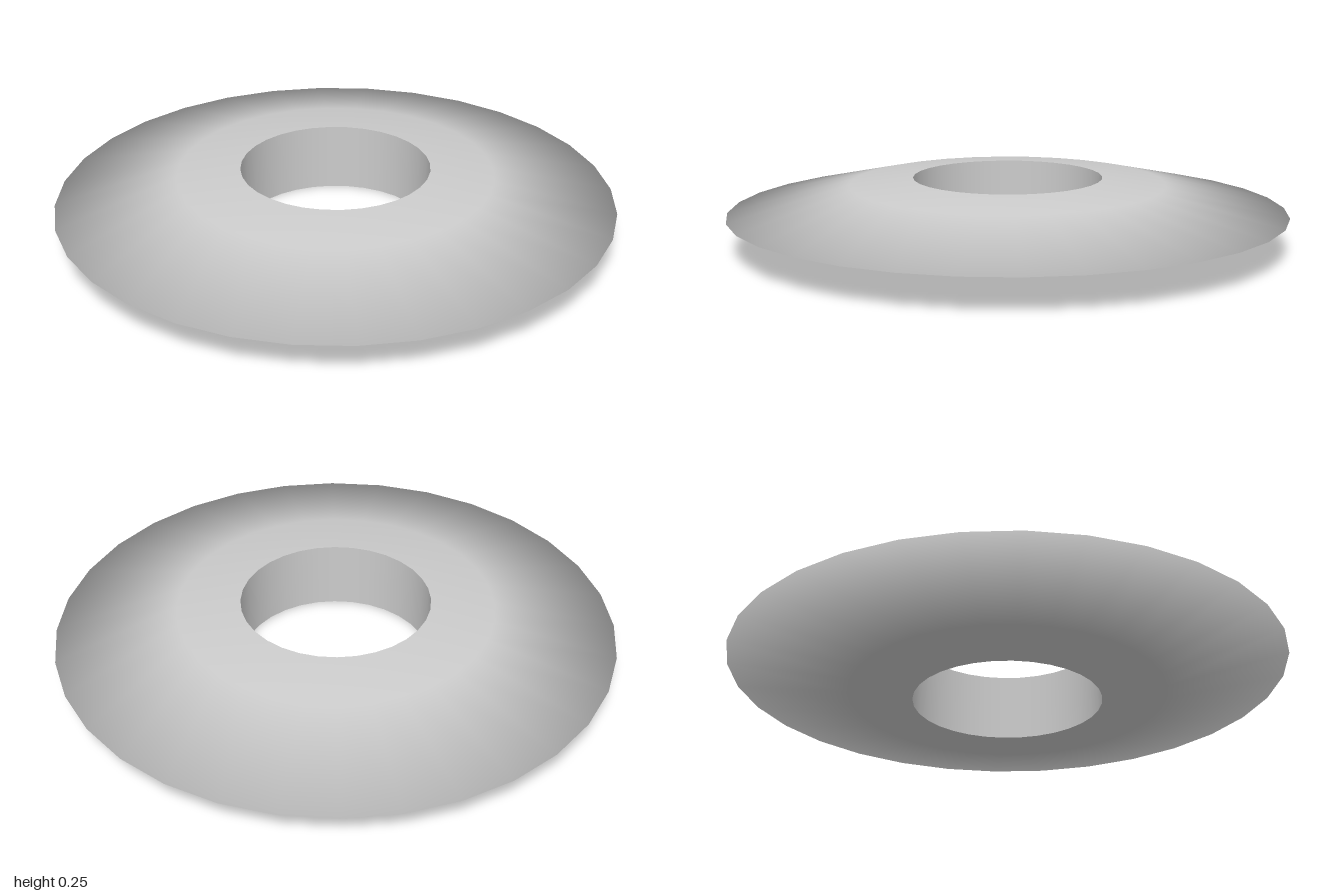
import * as THREE from 'three';

const SIDES = 32;
const HEIGHT = 0.246;
const BORE = 0.338;

// Revolves a list of [radius, y] points about the vertical axis
function revolve(name, profile) {
  const points = profile.map(([r, y]) => new THREE.Vector2(r, y));
  const material = new THREE.MeshStandardMaterial({ color: 0xcccccc });
  const mesh = new THREE.Mesh(new THREE.LatheGeometry(points, SIDES), material);
  mesh.name = name;
  return mesh;
}

export function createModel() {
  const group = new THREE.Group();
  group.name = 'ringDisc';

  // Outer skin: underside, thin rim, then the mirrored top side
  const underside = [[BORE, 0], [0.565, 0.023]];
  const topSide = underside.map(([r, y]) => [r, HEIGHT - y]).reverse();
  group.add(revolve('discBody', [...underside, [1, HEIGHT / 2], ...topSide]));

  // Straight wall of the centre hole, kept separate for a sharp edge
  group.add(revolve('holeWall', [[BORE, HEIGHT], [BORE, 0]]));

  return group;
}
